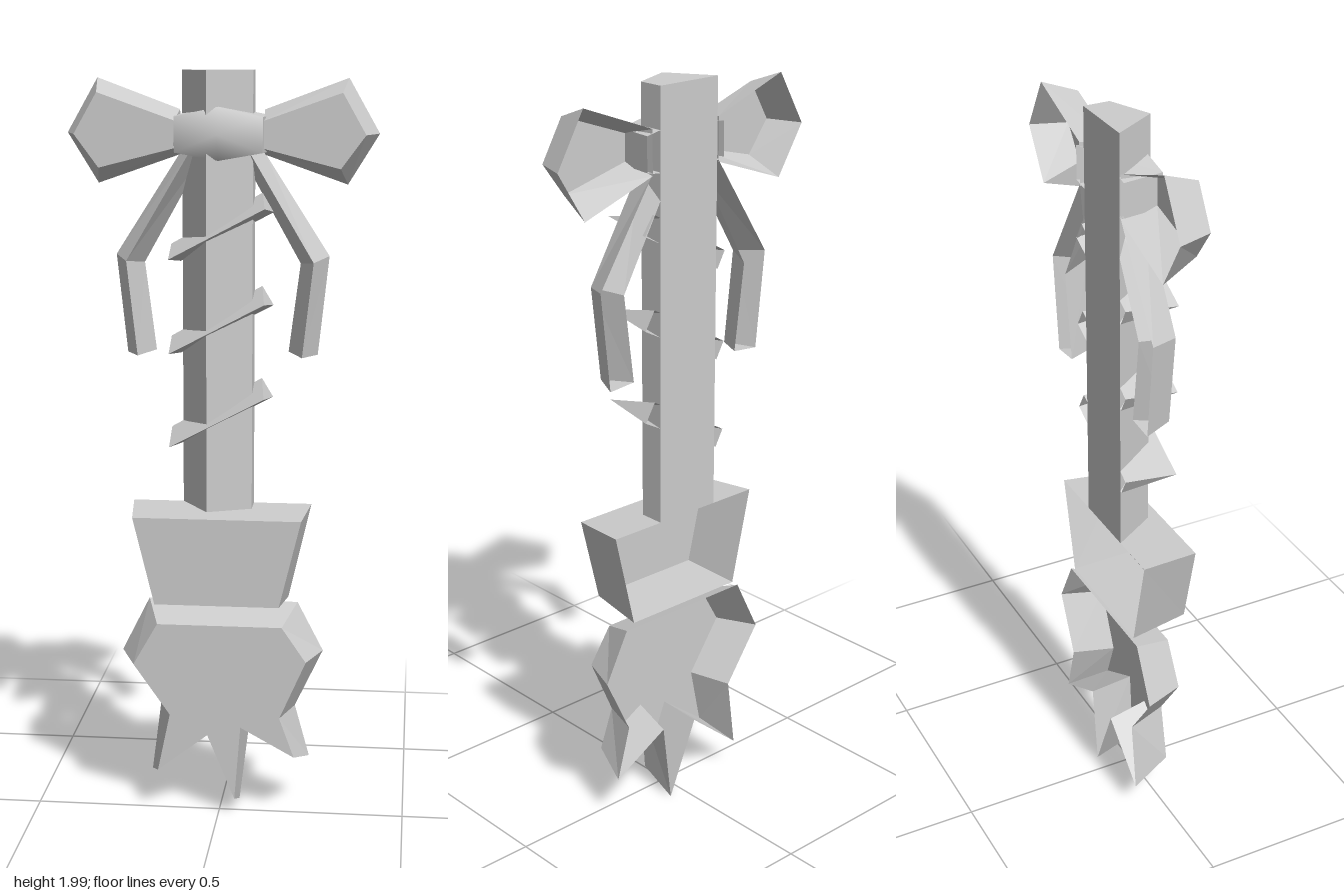
import * as THREE from 'three';

const BACK = -0.08;
const grey = new THREE.MeshStandardMaterial({ color: 0xcccccc, side: THREE.DoubleSide });
grey.name = 'light grey';

// Unshared triangles give every face a flat normal
function flatMesh(name, tris) {
  const geometry = new THREE.BufferGeometry();
  geometry.setAttribute('position', new THREE.Float32BufferAttribute(tris.flat(), 3));
  geometry.computeVertexNormals();
  const mesh = new THREE.Mesh(geometry, grey);
  mesh.name = name;
  return mesh;
}

// Quad strip between two rings of 3D points
function band(a, b, closed = true) {
  const tris = [];
  const n = a.length;
  for (let i = 0; i < (closed ? n : n - 1); i++) {
    const j = (i + 1) % n;
    tris.push(a[i], a[j], b[j], a[i], b[j], b[i]);
  }
  return tris;
}

// Open-backed bevelled plate; outlines run counter-clockwise seen from the front
function plate(name, back, front, z) {
  const a = back.map(([x, y]) => [x, y, BACK]);
  const b = front.map(([x, y]) => [x, y, z]);
  const tris = band(a, b);
  const outline = front.map(([x, y]) => new THREE.Vector2(x, y));
  for (const f of THREE.ShapeUtils.triangulateShape(outline, [])) f.forEach((i) => tris.push(b[i]));
  return flatMesh(name, tris);
}

// Ridged strip; each row is [upper edge, ridge, lower edge] with the ridge at height z
function ridged(name, rows, z) {
  const rings = rows.map(([u, r, l]) => [[...u, BACK], [...r, z], [...l, BACK]]);
  const tris = [];
  for (let i = 0; i < rings.length - 1; i++) tris.push(...band(rings[i], rings[i + 1], false));
  const [s, e] = [rings[0], rings[rings.length - 1]];
  tris.push(s[0], s[1], s[2], e[0], e[2], e[1]);
  return flatMesh(name, tris);
}

const flip = (pts) => pts.map(([x, y]) => [-x, y]).reverse();

export function createModel() {
  const model = new THREE.Group();
  model.name = 'broom';

  // Handle: four-sided post with an off-centre front edge
  const section = [[-0.105, BACK], [-0.03, 0.04], [0.085, -0.01], [0.085, BACK]];
  const low = section.map(([x, z]) => [x, 0.86, z]);
  const high = section.map(([x, z]) => [x, 2, z]);
  model.add(flatMesh('handle', [
    ...band(low, high),
    high[0], high[1], high[2], high[0], high[2], high[3],
    low[0], low[2], low[1], low[0], low[3], low[2],
  ]));

  // Tapered collar
  model.add(plate('collar',
    [[-0.18, 0.6], [0.18, 0.6], [0.24, 0.86], [-0.24, 0.86]],
    [[-0.165, 0.615], [0.165, 0.615], [0.222, 0.85], [-0.222, 0.85]], 0.08));

  // Ragged bristles
  model.add(plate('bristles',
    [[-0.2, 0.585], [-0.275, 0.435], [-0.17, 0.285], [-0.195, 0.09], [-0.04, 0.22], [0.048, 0.01],
      [0.075, 0.235], [0.24, 0.145], [0.2, 0.29], [0.275, 0.45], [0.205, 0.585]],
    [[-0.165, 0.545], [-0.23, 0.43], [-0.132, 0.29], [-0.165, 0.13], [-0.03, 0.235], [0.044, 0.055],
      [0.06, 0.26], [0.205, 0.18], [0.165, 0.29], [0.235, 0.45], [0.17, 0.545]], 0.032));

  // Bow loops
  const loopBack = [[0.11, 1.785], [0.325, 1.71], [0.405, 1.84], [0.325, 1.98], [0.11, 1.9]];
  const loopFront = [[0.115, 1.805], [0.31, 1.755], [0.373, 1.84], [0.313, 1.945], [0.115, 1.875]];
  model.add(plate('leftBowLoop', loopBack, loopFront, 0.015));
  model.add(plate('rightBowLoop', flip(loopBack), flip(loopFront), 0.015));

  // Bow tails: [outer edge, ridge, inner edge] from the knot down
  const tail = [
    [[0.11, 1.79], [0.08, 1.79], [0.045, 1.79]],
    [[0.28, 1.525], [0.243, 1.515], [0.205, 1.505]],
    [[0.252, 1.265], [0.215, 1.268], [0.175, 1.272]],
  ];
  model.add(ridged('leftBowTail', tail, 0));
  model.add(ridged('rightBowTail', tail.map(flip), 0));

  // Knot: side wall, then a smooth front rising to a point
  const ring = [[-0.113, 1.795], [0, 1.775], [0.113, 1.795], [0.113, 1.885], [0, 1.91], [-0.113, 1.885]];
  const knotFront = ring.map(([x, y]) => [x, y, 0.03]);
  const knotBack = ring.map(([x, y]) => [x * 1.13, y, BACK]);
  model.add(flatMesh('knotSides', band(knotBack, knotFront)));
  const face = new THREE.BufferGeometry();
  face.setAttribute('position', new THREE.Float32BufferAttribute([0, 1.842, 0.08, ...knotFront.flat()], 3));
  face.setIndex(ring.flatMap((_, i) => [0, i + 1, ((i + 1) % 6) + 1]));
  face.computeVertexNormals();
  const knot = new THREE.Mesh(face, grey);
  knot.name = 'knotFront';
  model.add(knot);

  // Slanted wraps round the handle
  for (const y of [0, 0.245, 0.488]) {
    model.add(ridged('handleWrap', [
      [[0.105, 1.2 + y], [0.122, 1.17 + y], [0.135, 1.15 + y]],
      [[-0.135, 1.065 + y], [-0.124, 1.04 + y], [-0.11, 1.02 + y]],
    ].map((row) => row.slice().reverse()), 0.073));
  }

  // Rest the lowest tip on the ground
  model.children.forEach((m) => m.geometry.computeBoundingBox());
  return model;
}
